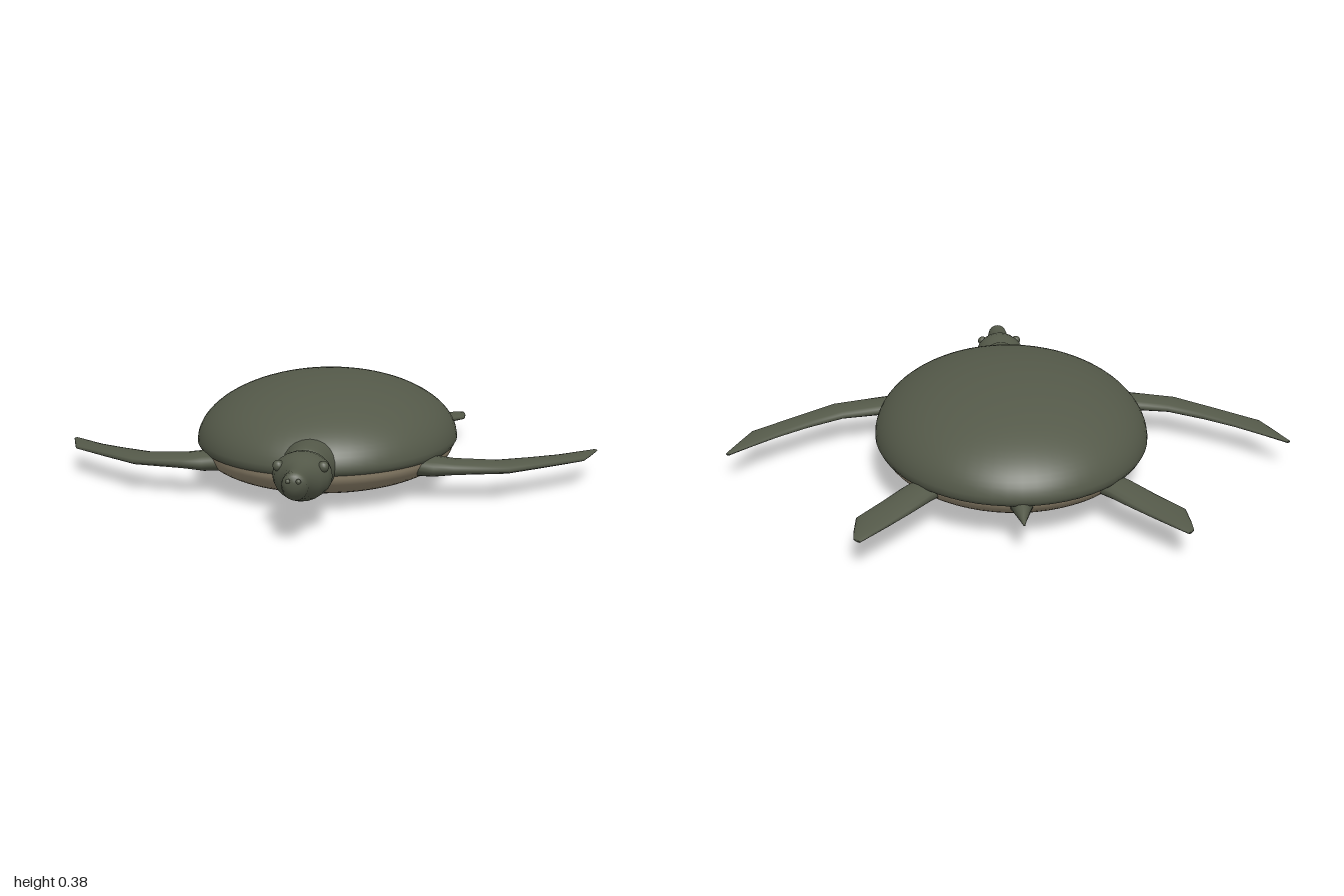
import * as THREE from 'three';

const shellGreen = new THREE.MeshStandardMaterial({ color: 0x545949 });
shellGreen.name = 'olive green';
const bellyTan = new THREE.MeshStandardMaterial({ color: 0x90846d });
bellyTan.name = 'belly tan';

// Closed skin over a list of equal-sized rings of Vector3, capped at both ends
function loft(rings) {
  const n = rings[0].length, pos = [], idx = [];
  rings.forEach(r => r.forEach(p => pos.push(p.x, p.y, p.z)));
  for (let i = 0; i < rings.length - 1; i++) {
    for (let j = 0; j < n; j++) {
      const a = i * n + j, b = i * n + (j + 1) % n;
      idx.push(a, b, b + n, a, b + n, a + n);
    }
  }
  const last = (rings.length - 1) * n, centre = rings.length * n;
  [rings[0], rings[rings.length - 1]].forEach(r => {
    const c = r.reduce((s, p) => s.add(p), new THREE.Vector3()).divideScalar(n);
    pos.push(c.x, c.y, c.z);
  });
  for (let j = 0; j < n; j++) {
    const k = (j + 1) % n;
    idx.push(centre, k, j, centre + 1, last + j, last + k);
  }
  const g = new THREE.BufferGeometry();
  g.setAttribute('position', new THREE.Float32BufferAttribute(pos, 3));
  g.setIndex(idx);
  g.computeVertexNormals();
  return g;
}

// Copy of a geometry reflected to the other side, with its faces turned back outward
function mirrored(geometry) {
  const g = geometry.clone().scale(-1, 1, 1);
  const ix = g.index.array;
  for (let i = 0; i < ix.length; i += 3) [ix[i], ix[i + 1]] = [ix[i + 1], ix[i]];
  g.computeVertexNormals();
  return g;
}

// Ellipse sections along z: [z, y, rx, ry]
function bodyOfSections(sections, n = 24) {
  return loft(sections.map(([z, y, rx, ry]) => Array.from({ length: n }, (_, j) => {
    const t = j / n * Math.PI * 2;
    return new THREE.Vector3(Math.cos(t) * rx, y + Math.sin(t) * ry, z);
  })));
}

// Lens sections: [leadX, leadZ, trailX, trailZ, y, halfThickness]
function flipper(sections, n = 16) {
  return loft(sections.map(([lx, lz, tx, tz, y, h]) => Array.from({ length: n }, (_, j) => {
    const t = j / n * Math.PI * 2, w = 0.5 + Math.sin(t) / 2;
    return new THREE.Vector3(tx + (lx - tx) * w, y + Math.cos(t) * h, tz + (lz - tz) * w);
  })));
}

export function createModel() {
  const turtle = new THREE.Group();
  turtle.name = 'turtle';
  const add = (name, geometry, material = shellGreen) => {
    const m = new THREE.Mesh(geometry, material);
    m.name = name;
    turtle.add(m);
    return m;
  };
  const addPair = (name, geometry) => {
    add(name + 'Left', geometry);
    add(name + 'Right', mirrored(geometry));
  };

  // Domed upper shell with a rim that curls under
  const dome = [new THREE.Vector2(0.93, 0.134), new THREE.Vector2(0.985, 0.136)];
  for (let i = 0; i <= 24; i++) {
    const t = i / 24 * Math.PI / 2;
    dome.push(new THREE.Vector2(i === 24 ? 0 : Math.cos(t), 0.15 + 0.235 * Math.sin(t)));
  }
  add('upperShell', new THREE.LatheGeometry(dome, 64).scale(0.48, 1, 0.63).translate(0, 0, -0.122));

  // Shallow, fuller underside
  const belly = [];
  for (let i = 0; i <= 20; i++) {
    const t = (1 - i / 20) * Math.PI / 2;
    const r = i === 0 ? 0 : Math.pow(Math.cos(t), 0.88);
    belly.push(new THREE.Vector2(r, 0.14 - 0.138 * Math.pow(Math.sin(t), 0.88)));
  }
  add('lowerShell', new THREE.LatheGeometry(belly, 64).scale(0.466, 1, 0.605).translate(0, 0, -0.108), bellyTan);

  // Neck collar
  add('neck', bodyOfSections([
    [0.36, 0.165, 0.1, 0.08], [0.46, 0.165, 0.095, 0.085], [0.5, 0.163, 0.086, 0.088],
    [0.545, 0.165, 0.08, 0.085], [0.575, 0.17, 0.074, 0.076], [0.6, 0.174, 0.06, 0.06],
  ]));

  // Rounded skull narrowing to a blunt snout
  add('head', bodyOfSections([
    [0.55, 0.173, 0.066, 0.06], [0.58, 0.174, 0.076, 0.066], [0.62, 0.176, 0.09, 0.075],
    [0.655, 0.178, 0.095, 0.078], [0.69, 0.177, 0.085, 0.074], [0.72, 0.177, 0.066, 0.066],
    [0.75, 0.178, 0.05, 0.058], [0.79, 0.182, 0.043, 0.051], [0.83, 0.189, 0.041, 0.046],
    [0.85, 0.197, 0.037, 0.037], [0.861, 0.203, 0.024, 0.022],
  ]));

  // Eyes and nostril beads
  for (const [side, s] of [['Left', 1], ['Right', -1]]) {
    add('eye' + side, new THREE.SphereGeometry(0.018, 14, 10)).position.set(s * 0.07, 0.216, 0.692);
    add('nostril' + side, new THREE.SphereGeometry(0.008, 10, 8)).position.set(s * 0.016, 0.212, 0.873);
  }

  // Long swept front flippers
  addPair('frontFlipper', flipper([
    [0.3, 0.27, 0.3, 0.12, 0.115, 0.036], [0.4, 0.294, 0.4, 0.135, 0.115, 0.034],
    [0.47, 0.288, 0.47, 0.148, 0.115, 0.026], [0.66, 0.242, 0.61, 0.12, 0.11, 0.02],
    [0.8, 0.122, 0.73, 0.045, 0.106, 0.017], [0.937, 0.005, 0.83, -0.035, 0.102, 0.013],
    [0.965, -0.075, 0.91, -0.11, 0.099, 0.01], [1.0, -0.178, 0.985, -0.187, 0.096, 0.004],
  ]));

  // Short paddle-shaped hind flippers
  addPair('hindFlipper', flipper([
    [0.31, -0.48, 0.22, -0.55, 0.117, 0.032], [0.375, -0.555, 0.285, -0.63, 0.115, 0.028],
    [0.44, -0.635, 0.345, -0.705, 0.108, 0.02], [0.514, -0.73, 0.41, -0.785, 0.103, 0.014],
    [0.516, -0.81, 0.455, -0.835, 0.1, 0.011], [0.514, -0.858, 0.492, -0.88, 0.098, 0.005],
  ]));

  // Pointed tail
  add('tail', bodyOfSections([
    [-0.825, 0.112, 0.003, 0.003], [-0.79, 0.114, 0.011, 0.012],
    [-0.755, 0.12, 0.022, 0.024], [-0.7, 0.125, 0.04, 0.034],
  ], 12));

  return turtle;
}
